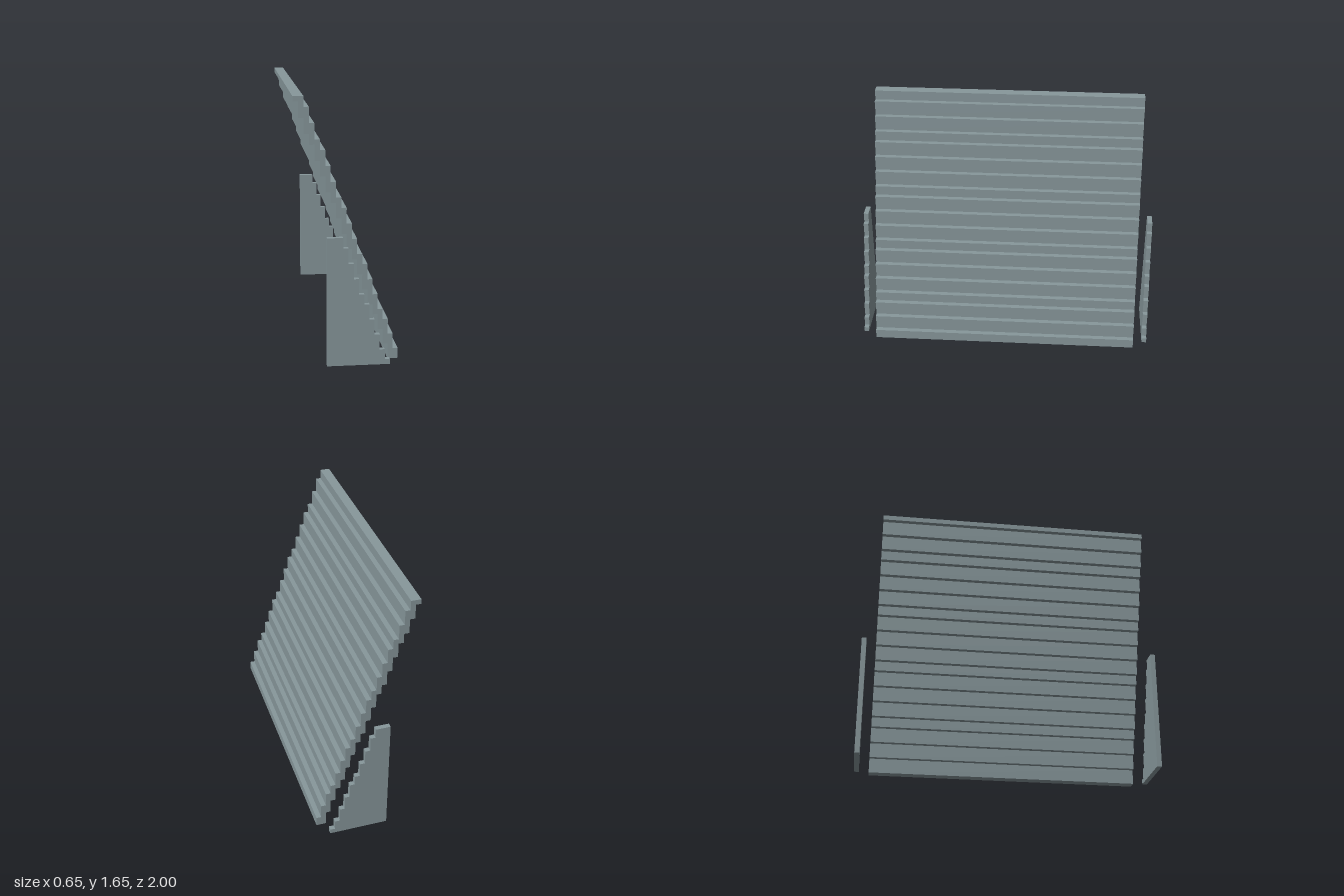
import * as THREE from 'three';

const U = 2 / 62; // one block

// Extrudes an outline given in blocks along z, centred on zMid
function slab(name, outline, depth, zMid, material) {
  const shape = new THREE.Shape(outline.map(([x, y]) => new THREE.Vector2(x * U, y * U)));
  const geometry = new THREE.ExtrudeGeometry(shape, { depth: depth * U, bevelEnabled: false });
  geometry.translate(0, 0, (zMid - depth / 2) * U);
  const mesh = new THREE.Mesh(geometry, material);
  mesh.name = name;
  return mesh;
}

// Staircase climbing toward -x: one block inward at each height
function stairs(startX, heights) {
  const points = [];
  let y = 0;
  heights.forEach((top, i) => {
    points.push([startX - i, y], [startX - i, top]);
    y = top;
  });
  return points;
}

export function createModel() {
  const group = new THREE.Group();
  group.name = 'leaningPanel';
  const metal = new THREE.MeshStandardMaterial({ color: 0x87979b });
  metal.name = 'blueGreyMetal';

  // Stepped leaning panel: the underside steps sit one block higher
  const steps = [2, 5, 8, 10, 13, 16, 19, 21, 24, 27, 30, 32, 35, 38, 41, 43, 46, 49, 51];
  const under = steps.map((y) => Math.min(y + 1, 51));
  const outline = [...stairs(10, steps), ...stairs(8, under).reverse()];
  group.add(slab('panel', outline, 56, 0, metal));

  // Thin stepped brackets standing beside both ends
  const bracketSteps = [1, 3, 6, 9, 12, 14, 17, 20, 23, 25];
  const bracket = [[-4, 0], ...stairs(8, bracketSteps), [-4, 25]];
  for (const side of [-1, 1]) {
    group.add(slab(side > 0 ? 'frontBracket' : 'backBracket', bracket, 1, side * 30.5, metal));
  }
  return group;
}
